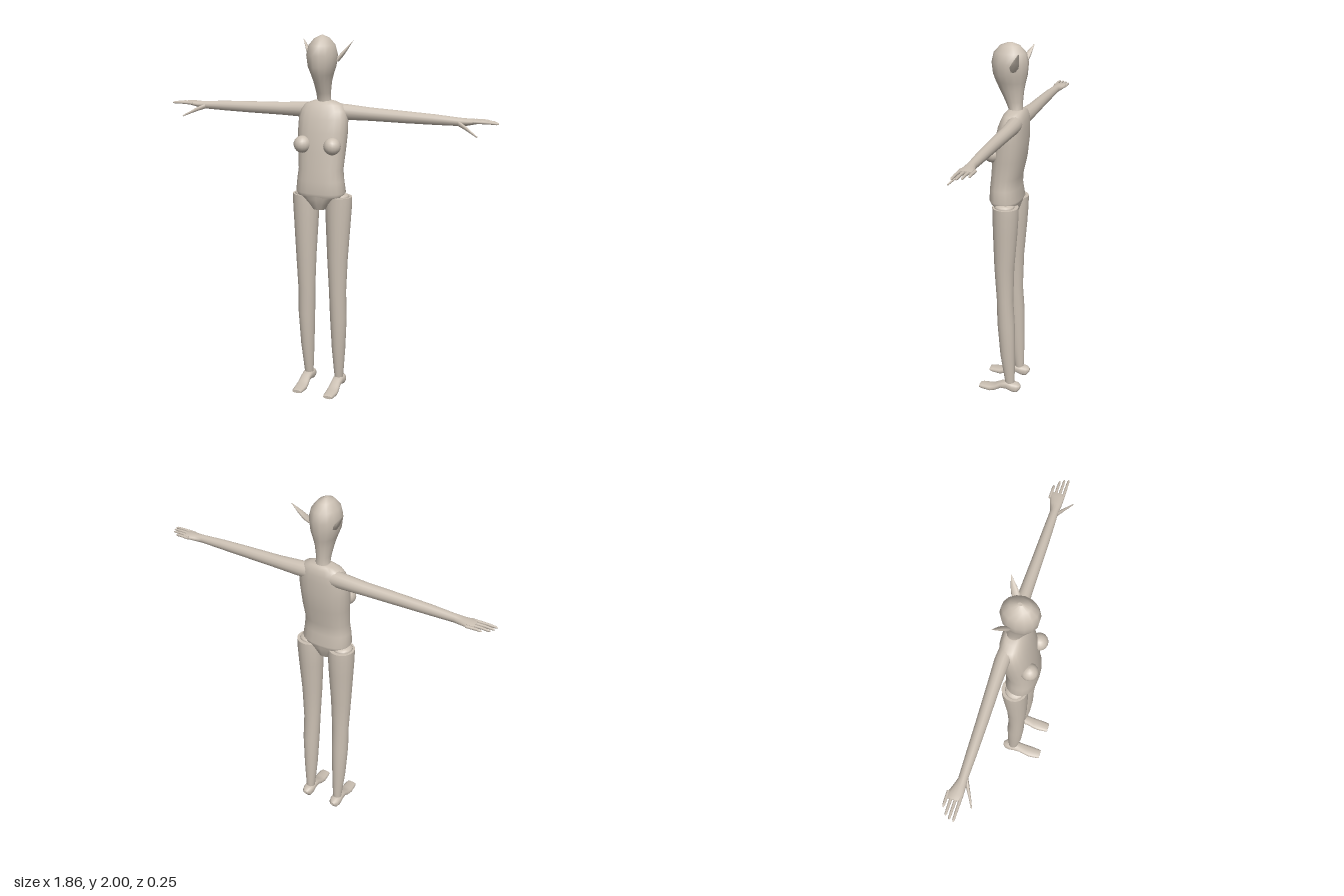
import * as THREE from 'three';

const skin = new THREE.MeshStandardMaterial({ color: 0xcbc0b3 });
skin.name = 'skin';

// Cyclic orders: where (a, t, b) of a section lands in (x, y, z)
const AXES = {
  y: (a, t, b) => [a, t, b],
  x: (a, t, b) => [t, b, a],
  z: (a, t, b) => [b, a, t],
};

// Capped loft through elliptical sections [t, centreA, centreB, radiusA, radiusB]
function loft(axis, sections, n = 16, power = 1) {
  const map = AXES[axis], pos = [], index = [];
  const bend = v => Math.sign(v) * Math.abs(v) ** power;
  const ring = ([t, ca, cb, ra, rb]) => {
    const first = pos.length / 3;
    for (let j = 0; j < n; j++) {
      const q = (j / n) * Math.PI * 2;
      pos.push(...map(ca + ra * bend(Math.cos(q)), t, cb + rb * bend(Math.sin(q))));
    }
    return first;
  };
  const rings = sections.map(ring);
  for (let i = 0; i < rings.length - 1; i++) {
    for (let j = 0; j < n; j++) {
      const k = (j + 1) % n, p = rings[i], r = rings[i + 1];
      index.push(p + j, r + j, p + k, p + k, r + j, r + k);
    }
  }
  // Caps have their own corners so their rims stay sharp
  [sections[0], sections[sections.length - 1]].forEach((s, end) => {
    const p = ring(s), c = pos.length / 3;
    pos.push(...map(s[1], s[0], s[2]));
    for (let j = 0; j < n; j++) {
      const k = (j + 1) % n;
      index.push(c, p + (end ? k : j), p + (end ? j : k));
    }
  });
  const g = new THREE.BufferGeometry();
  g.setAttribute('position', new THREE.Float32BufferAttribute(pos, 3));
  g.setIndex(index);
  g.computeVertexNormals();
  return g;
}

// Mirrored copy across x = 0 with its faces turned outward again
function mirrored(geometry) {
  const g = geometry.clone().scale(-1, 1, 1);
  const a = g.index.array;
  for (let i = 0; i < a.length; i += 3) [a[i + 1], a[i + 2]] = [a[i + 2], a[i + 1]];
  g.computeVertexNormals();
  return g;
}

export function createModel() {
  const model = new THREE.Group();
  model.name = 'figure';
  const add = (name, geometry) => {
    const mesh = new THREE.Mesh(geometry, skin);
    mesh.name = name;
    model.add(mesh);
  };
  const addPair = (name, geometry) => {
    add(name + 'Left', geometry);
    add(name + 'Right', mirrored(geometry));
  };

  // Head tapering into the neck
  add('headAndNeck', loft('y', [
    [1.62, 0, -0.058, 0.05, 0.04],
    [1.66, 0, -0.055, 0.036, 0.038],
    [1.70, 0, -0.046, 0.037, 0.046],
    [1.76, 0, -0.034, 0.046, 0.064],
    [1.80, 0, -0.028, 0.057, 0.078],
    [1.84, 0, -0.025, 0.072, 0.09],
    [1.90, 0, -0.024, 0.08, 0.096],
    [1.95, 0, -0.024, 0.067, 0.085],
    [1.985, 0, -0.024, 0.038, 0.052],
    [2.0, 0, -0.024, 0.008, 0.012],
  ], 14));

  // Trunk from hips to shoulders
  add('torso', loft('y', [
    [1.155, 0, -0.01, 0.128, 0.078],
    [1.175, 0, -0.01, 0.138, 0.086],
    [1.24, 0, -0.006, 0.13, 0.08],
    [1.30, 0, -0.01, 0.123, 0.078],
    [1.40, 0, -0.025, 0.13, 0.085],
    [1.50, 0, -0.037, 0.137, 0.083],
    [1.57, 0, -0.045, 0.136, 0.074],
    [1.61, 0, -0.052, 0.126, 0.066],
    [1.64, 0, -0.056, 0.105, 0.055],
    [1.655, 0, -0.058, 0.065, 0.042],
    [1.66, 0, -0.058, 0.038, 0.035],
  ], 20, 0.85));

  // Pelvis narrowing between the legs
  add('pelvis', loft('y', [
    [1.08, 0, -0.01, 0.04, 0.052],
    [1.11, 0, -0.01, 0.062, 0.066],
    [1.14, 0, -0.01, 0.095, 0.076],
    [1.17, 0, -0.01, 0.132, 0.082],
  ], 16, 0.85));

  addPair('breast', new THREE.SphereGeometry(0.046, 16, 12).translate(0.085, 1.435, 0.046));

  // Pointed ears
  addPair('ear', loft('y', [
    [1.865, 0.07, -0.06, 0.01, 0.012],
    [1.89, 0.085, -0.07, 0.013, 0.024],
    [1.92, 0.105, -0.085, 0.01, 0.018],
    [1.97, 0.14, -0.11, 0.001, 0.002],
  ], 8));

  // Arm and palm, sections along x as [x, z, y, radius z, radius y]
  addPair('arm', loft('x', [
    [0.06, -0.07, 1.60, 0.04, 0.045],
    [0.13, -0.077, 1.60, 0.038, 0.041],
    [0.25, -0.077, 1.597, 0.033, 0.035],
    [0.45, -0.074, 1.594, 0.029, 0.031],
    [0.60, -0.073, 1.592, 0.026, 0.027],
    [0.73, -0.073, 1.589, 0.022, 0.021],
    [0.77, -0.077, 1.59, 0.03, 0.018],
    [0.81, -0.083, 1.594, 0.038, 0.013],
    [0.835, -0.084, 1.595, 0.036, 0.008],
  ], 14));

  // Four fingers: [z, tip x]
  [[-0.117, 0.88], [-0.095, 0.912], [-0.074, 0.925], [-0.053, 0.93]].forEach(([z, tip], i) => {
    addPair('finger' + (i + 1), loft('x', [
      [0.80, z, 1.595, 0.008, 0.008],
      [(tip + 0.83) / 2, z, 1.596, 0.007, 0.007],
      [tip - 0.01, z, 1.594, 0.006, 0.006],
      [tip, z, 1.593, 0.002, 0.002],
    ], 8));
  });

  addPair('thumb', loft('x', [
    [0.72, -0.06, 1.585, 0.01, 0.014],
    [0.765, -0.037, 1.567, 0.009, 0.011],
    [0.80, -0.018, 1.549, 0.006, 0.007],
    [0.836, 0.0, 1.531, 0.003, 0.004],
  ], 8));

  // Legs with a flat-capped thigh
  addPair('leg', loft('y', [
    [0.065, 0.093, -0.055, 0.024, 0.026],
    [0.10, 0.093, -0.053, 0.027, 0.03],
    [0.25, 0.095, -0.042, 0.038, 0.042],
    [0.45, 0.096, -0.033, 0.047, 0.049],
    [0.60, 0.093, -0.026, 0.048, 0.046],
    [0.80, 0.093, -0.022, 0.057, 0.055],
    [1.00, 0.094, -0.027, 0.068, 0.066],
    [1.10, 0.095, -0.029, 0.073, 0.07],
    [1.15, 0.097, -0.029, 0.071, 0.07],
  ], 18));
  addPair('hipJoint', new THREE.SphereGeometry(0.055, 14, 8)
    .scale(1, 0.4, 1).translate(0.1, 1.15, -0.025));

  // Foot, sections along z as [z, y, x, radius y, radius x]
  addPair('foot', loft('z', [
    [-0.117, 0.047, 0.094, 0.01, 0.012],
    [-0.10, 0.042, 0.094, 0.028, 0.028],
    [-0.075, 0.044, 0.094, 0.03, 0.033],
    [-0.04, 0.052, 0.094, 0.025, 0.031],
    [-0.005, 0.047, 0.094, 0.019, 0.029],
    [0.03, 0.027, 0.094, 0.019, 0.032],
    [0.06, 0.018, 0.094, 0.018, 0.034],
    [0.11, 0.019, 0.094, 0.014, 0.03],
    [0.125, 0.019, 0.094, 0.009, 0.026],
  ], 14, 0.8));

  return model;
}
